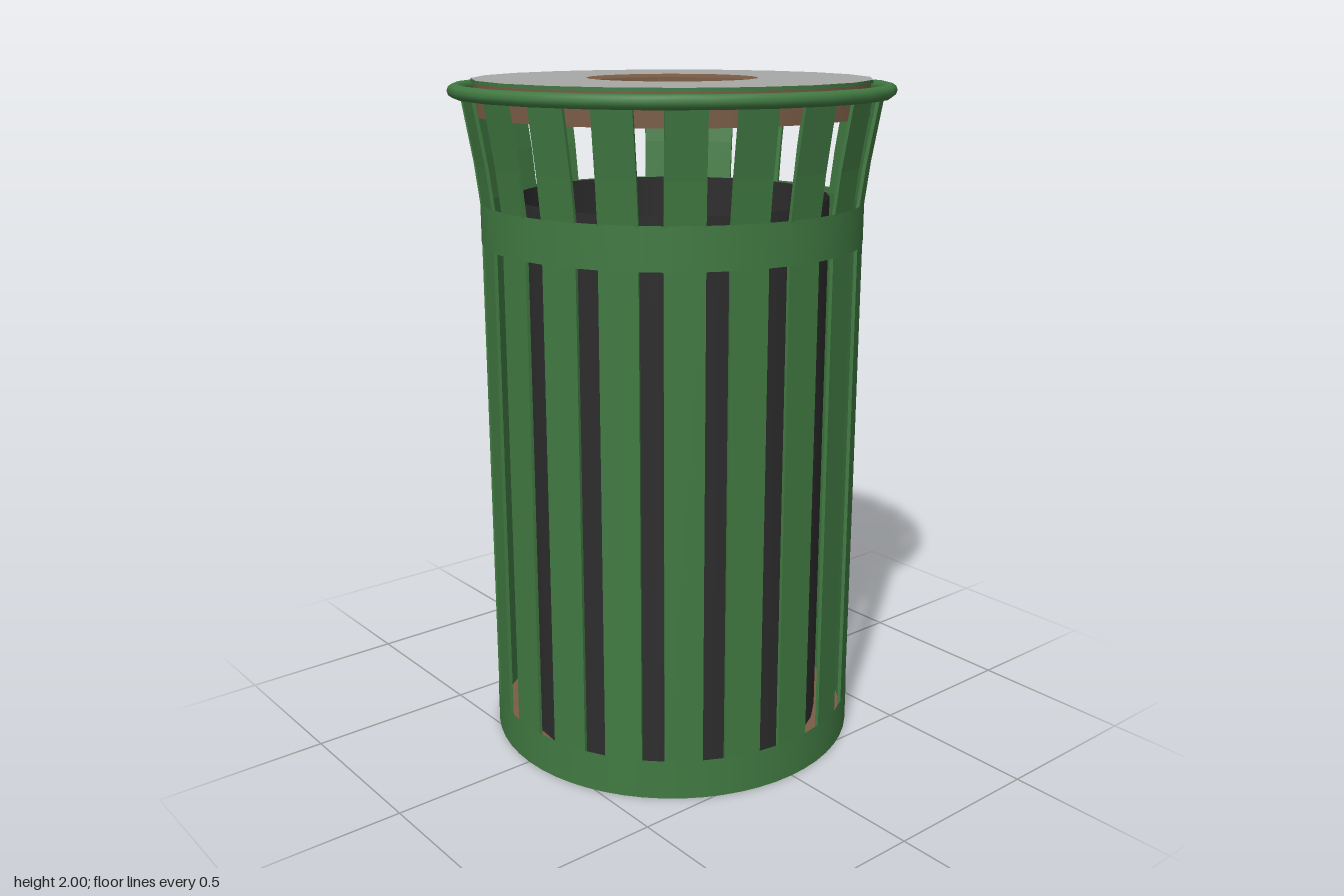
import * as THREE from 'three';

const mat = (name, color, side = THREE.FrontSide) => {
  const m = new THREE.MeshStandardMaterial({ color, side });
  m.name = name;
  return m;
};

export function createModel() {
  const green = mat('greenPaint', 0x417a42, THREE.DoubleSide);
  const grey = mat('lidGrey', 0xa8a8a6);
  const dark = mat('linerBlack', 0x2d2d2d, THREE.DoubleSide);
  const brown = mat('rustBrown', 0x7a5c46, THREE.DoubleSide);

  const model = new THREE.Group();
  model.name = 'litterBin';
  const add = (name, geometry, material, y = 0, parent = model) => {
    const mesh = new THREE.Mesh(geometry, material);
    mesh.name = name;
    mesh.position.y = y;
    parent.add(mesh);
    return mesh;
  };
  const tube = (r, h, sides) => new THREE.CylinderGeometry(r, r, h, sides, 1, true);
  const disc = (r, sides, up) => new THREE.CircleGeometry(r, sides).rotateX(up ? -Math.PI / 2 : Math.PI / 2);

  // Hoops around the slats
  add('bottomBand', tube(0.56, 0.12, 60), green, 0.06);
  add('upperBand', tube(0.56, 0.12, 60), green, 1.595);

  // Base plate: painted below, bare on top
  add('baseUnderside', disc(0.56, 60, false), green, 0);
  add('baseFloor', disc(0.555, 60, true), brown, 0.015);

  // Vertical slats, flaring outward above the upper band
  const t = 0.01, width = 0.11;
  const outer = [[0.556, 0.01], [0.556, 1.64], [0.572, 1.77], [0.605, 1.965]];
  const profile = new THREE.Shape([
    ...outer.map(([r, y]) => new THREE.Vector2(r, y)),
    ...outer.slice().reverse().map(([r, y]) => new THREE.Vector2(r - t, y)),
  ]);
  const slatGeometry = new THREE.ExtrudeGeometry(profile, { depth: width, bevelEnabled: false })
    .translate(0, 0, -width / 2);
  const slats = new THREE.Group();
  slats.name = 'slats';
  model.add(slats);
  for (let i = 0; i < 20; i++) {
    add('slat', slatGeometry, green, 0, slats).rotation.y = (i / 20) * Math.PI * 2;
  }

  // Rolled top rim
  add('topRim', new THREE.TorusGeometry(0.622, 0.02, 10, 24).rotateX(Math.PI / 2), green, 1.968);

  // Inner liner with floor
  add('liner', tube(0.46, 1.635, 32), dark, 0.8475);
  add('linerFloor', disc(0.46, 32, true), dark, 0.04);

  // Lid plate with central opening, over a skirt
  const lid = new THREE.Group();
  lid.name = 'lid';
  model.add(lid);
  const ring = () => {
    const s = new THREE.Shape(), hole = new THREE.Path();
    const pts = (r) => Array.from({ length: 20 }, (_, i) =>
      new THREE.Vector2(Math.cos(i * Math.PI / 10) * r, Math.sin(i * Math.PI / 10) * r));
    s.setFromPoints(pts(0.576));
    hole.setFromPoints(pts(0.248));
    s.holes.push(hole);
    return new THREE.ShapeGeometry(s).rotateX(-Math.PI / 2);
  };
  add('lidTop', ring(), grey, 2, lid);
  add('lidUnderside', ring(), brown, 1.99, lid);
  add('lidEdge', tube(0.576, 0.01, 20).rotateY(Math.PI / 2), green, 1.995, lid);
  add('lidSkirt', tube(0.57, 0.09, 20).rotateY(Math.PI / 2), brown, 1.945, lid);

  return model;
}
